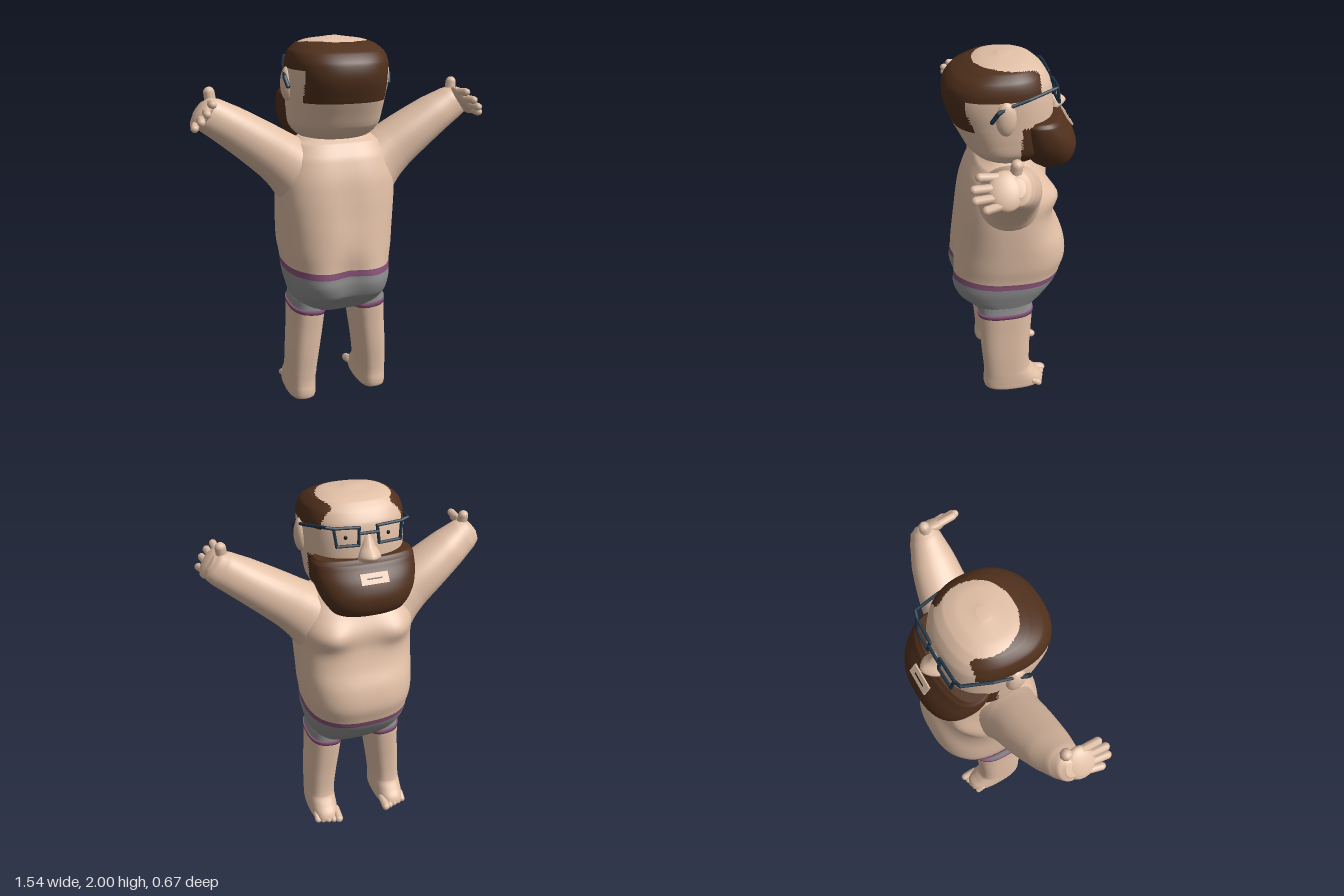
import * as THREE from 'three';

const mat = (name, color) => Object.assign(new THREE.MeshStandardMaterial({ color }), { name });
const V = (x, y, z) => new THREE.Vector3(x, y, z);

// Catmull-Rom between b and c
const spline = (a, b, c, d, t) =>
  0.5 * (2 * b + (c - a) * t + (2 * a - 5 * b + 4 * c - d) * t * t + (3 * b - a - 3 * c + d) * t * t * t);
const spow = (v, p) => Math.sign(v) * Math.abs(v) ** p;

// Closed loft of super-ellipses; each ring is [y, halfWidth, zBack, zFront, centreX]
function loft(rings, power = 2.5, cols = 48, sub = 6) {
  const rows = [];
  const ring = (i) => rings[Math.min(Math.max(i, 0), rings.length - 1)];
  for (let i = 0; i < rings.length - 1; i++)
    for (let k = 0; k < sub; k++) {
      const t = k / sub;
      rows.push([0, 1, 2, 3, 4].map((c) => c === 0
        ? ring(i)[0] + (ring(i + 1)[0] - ring(i)[0]) * t
        : spline(ring(i - 1)[c] ?? 0, ring(i)[c] ?? 0, ring(i + 1)[c] ?? 0, ring(i + 2)[c] ?? 0, t)));
    }
  rows.push(ring(rings.length));
  const pos = [], idx = [];
  for (const [y, w, zb, zf, cx = 0] of rows)
    for (let j = 0; j < cols; j++) {
      const a = (j / cols) * Math.PI * 2;
      pos.push(cx + w * spow(Math.cos(a), 2 / power), y, (zb + zf) / 2 + ((zb - zf) / 2) * spow(Math.sin(a), 2 / power));
    }
  for (let i = 0; i < rows.length - 1; i++)
    for (let j = 0; j < cols; j++) {
      const a = i * cols + j, b = i * cols + ((j + 1) % cols);
      idx.push(a, a + cols, b, b, a + cols, b + cols);
    }
  const last = rows.length - 1, n = rows.length * cols;
  for (const r of [0, last]) pos.push(rows[r][4] ?? 0, rows[r][0], (rows[r][2] + rows[r][3]) / 2);
  for (let j = 0; j < cols; j++) {
    const k = (j + 1) % cols;
    idx.push(n, j, k, n + 1, last * cols + k, last * cols + j);
  }
  const g = new THREE.BufferGeometry();
  g.setAttribute('position', new THREE.Float32BufferAttribute(pos, 3));
  g.setIndex(idx);
  g.computeVertexNormals();
  return g;
}

// Sort triangles into material groups by a rule on their centres
function paint(g, count, rule) {
  const p = g.attributes.position, old = g.index.array;
  const bins = Array.from({ length: count }, () => []);
  for (let i = 0; i < old.length; i += 3) {
    const t = [old[i], old[i + 1], old[i + 2]];
    const mean = (f) => (f(t[0]) + f(t[1]) + f(t[2])) / 3;
    bins[rule(mean((v) => p.getX(v)), mean((v) => p.getY(v)), mean((v) => p.getZ(v)))].push(...t);
  }
  let start = 0;
  bins.forEach((b, m) => { g.addGroup(start, b.length, m); start += b.length; });
  g.setIndex(bins.flat());
  return g;
}

// Move vertices by a rule
function warp(g, rule) {
  const p = g.attributes.position;
  for (let i = 0; i < p.count; i++) {
    const v = rule(V(p.getX(i), p.getY(i), p.getZ(i)));
    p.setXYZ(i, v.x, v.y, v.z);
  }
  g.computeVertexNormals();
  return g;
}

// Rounded rod between two points
function rod(a, b, r, seg = 8) {
  const d = b.clone().sub(a);
  const q = new THREE.Quaternion().setFromUnitVectors(V(0, 1, 0), d.clone().normalize());
  return new THREE.CapsuleGeometry(r, d.length(), 4, seg)
    .applyQuaternion(q).translate((a.x + b.x) / 2, (a.y + b.y) / 2, (a.z + b.z) / 2);
}

const blob = (x, y, z, sx, sy, sz) => new THREE.SphereGeometry(1, 20, 14).scale(sx, sy, sz).translate(x, y, z);

function mirrored(g) {
  const m = g.clone().scale(-1, 1, 1), ix = m.index.array;
  for (let i = 0; i < ix.length; i += 3) [ix[i], ix[i + 1]] = [ix[i + 1], ix[i]];
  return m;
}

export function createModel() {
  const skin = mat('skin', 0xe2c0a7), hair = mat('hair brown', 0x50301c), grey = mat('shorts grey', 0x909090);
  const trim = mat('trim purple', 0x885278), frame = mat('glasses navy', 0x1d3345), dark = mat('dark', 0x1a1412);
  const model = new THREE.Group();
  const add = (name, g, m) => {
    const mesh = new THREE.Mesh(g, m);
    mesh.name = name;
    model.add(mesh);
  };
  const pair = (name, g, m) => { add(name + 'Left', g, m); add(name + 'Right', mirrored(g), m); };

  // Torso with shorts and waistband
  const torso = paint(loft([
    [0.525, 0.09, 0.12, -0.06], [0.55, 0.2, 0.185, -0.095], [0.58, 0.248, 0.22, -0.128], [0.62, 0.262, 0.265, -0.168],
    [0.66, 0.272, 0.305, -0.205],
    [0.72, 0.285, 0.325, -0.245], [0.773, 0.29, 0.325, -0.273], [0.807, 0.29, 0.322, -0.285], [0.9, 0.303, 0.32, -0.308],
    [1.0, 0.309, 0.31, -0.292], [1.1, 0.314, 0.295, -0.245], [1.2, 0.318, 0.28, -0.215], [1.3, 0.315, 0.26, -0.205],
    [1.4, 0.285, 0.225, -0.155], [1.47, 0.245, 0.18, -0.11], [1.5, 0.19, 0.14, -0.08],
  ], 2.6, 64), 3, (x, y) => (y < 0.773 ? 1 : y < 0.807 ? 2 : 0));
  const bump = (v, c, w) => Math.exp(-(((v - c) / w) ** 2));
  warp(torso, (v) => {
    const h = v.y, side = Math.abs(v.x);
    v.y += 0.045 * v.z * bump(h, 0.79, 0.2);
    if (v.z > 0.1) {
      v.z += (0.02 * bump(side, 0.16, 0.08) - 0.026 * bump(v.x, 0, 0.06)) * bump(h, 0.74, 0.13);
      v.z -= 0.012 * bump(v.x, 0, 0.07) * bump(h, 1.15, 0.25);
    }
    if (v.z < -0.05) v.z -= 0.045 * bump(side, 0.18, 0.1) * bump(h, 1.29, 0.08);
    return v;
  });
  add('torso', torso, [skin, grey, trim]);

  // Legs with the hem of the shorts, cuffs and toes
  const hem = (x) => 0.557 + 0.12 * (x - 0.19);
  pair('leg', paint(loft([
    [0, 0.065, 0.15, -0.11, 0.212], [0.02, 0.082, 0.18, -0.17, 0.212], [0.06, 0.083, 0.185, -0.165, 0.212],
    [0.1, 0.082, 0.18, -0.13, 0.212], [0.15, 0.082, 0.18, -0.092, 0.21], [0.3, 0.088, 0.19, -0.09, 0.198],
    [0.45, 0.094, 0.195, -0.1, 0.183], [0.56, 0.097, 0.2, -0.107, 0.175], [0.63, 0.09, 0.2, -0.107, 0.172],
  ], 2.6, 32), 2, (x, y) => (y > hem(x) ? 1 : 0)), [skin, grey]);
  pair('legCuff', warp(loft([
    [-0.013, 0.1, 0.203, -0.11, 0.175], [0.013, 0.101, 0.205, -0.112, 0.175],
  ], 2.6, 32, 2), (v) => V(v.x, v.y + hem(v.x), v.z)), trim);
  for (let i = 0; i < 5; i++) {
    const x = 0.152 + i * 0.03, r = i ? 0.019 : 0.024;
    pair('toe' + (i + 1), rod(V(x, 0.05, -0.11), V(x, r + 0.008, -0.178 + i * 0.009), r), skin);
  }

  // Arms and hands, built upright and then swung outwards
  const swing = new THREE.Matrix4().makeTranslation(0.202, 1.313, 0).multiply(new THREE.Matrix4().makeRotationZ(-0.9));
  const armPart = (name, g) => pair(name, g.applyMatrix4(swing), skin);
  armPart('arm', loft([
    [0, 0.175, 0.2, -0.14], [0.08, 0.15, 0.187, -0.12], [0.16, 0.135, 0.18, -0.105], [0.3, 0.12, 0.177, -0.088, 0.005],
    [0.45, 0.105, 0.168, -0.055, 0.015], [0.56, 0.092, 0.152, -0.012, 0.027], [0.605, 0.077, 0.14, 0.015, 0.033],
    [0.625, 0.04, 0.11, 0.045, 0.035],
  ], 2.2, 32));
  armPart('palm', blob(0.04, 0.6, 0.125, 0.09, 0.034, 0.078));
  [[-0.02, -0.025, 0.23], [0.022, 0.025, 0.258], [0.06, 0.072, 0.256], [0.095, 0.115, 0.215]].forEach(([x0, x1, z], i) =>
    armPart('finger' + (i + 1), rod(V(x0, 0.6, 0.13), V(x1, 0.608, z), 0.02)));
  armPart('thumb', rod(V(0, 0.565, 0.08), V(-0.06, 0.622, 0.07), 0.028));

  // Head with a horseshoe of hair and the cheeks of the beard
  add('head', paint(loft([
    [1.46, 0.13, 0.1, -0.1], [1.51, 0.2, 0.18, -0.17], [1.56, 0.237, 0.225, -0.2], [1.63, 0.247, 0.26, -0.215],
    [1.7, 0.252, 0.295, -0.22], [1.8, 0.258, 0.325, -0.215], [1.88, 0.256, 0.317, -0.2], [1.93, 0.24, 0.275, -0.17],
    [1.965, 0.2, 0.205, -0.13], [1.985, 0.14, 0.14, -0.08], [2, 0.03, 0.05, 0],
  ], 2.4, 96, 8), 2, (x, y, z) => {
    const bald = (x / 0.185) ** 2 + (z / 0.175) ** 2 < 1 || (z < 0 && Math.abs(x) < 0.15);
    const sides = y > 1.85 && z > -0.125, nape = z > 0.165 && y > 1.69 && Math.abs(x) < 0.215;
    const cheeks = z < -0.03 && y < 1.705 && y > 1.49 - z * 0.1;
    return cheeks || ((sides || nape) && !bald) ? 1 : 0;
  }), [skin, hair]);
  pair('ear', blob(0.256, 1.77, 0.05, 0.033, 0.085, 0.05), skin);
  add('nose', loft([
    [1.69, 0.035, -0.18, -0.235], [1.715, 0.058, -0.18, -0.272], [1.74, 0.054, -0.18, -0.294],
    [1.78, 0.034, -0.18, -0.25], [1.84, 0.02, -0.18, -0.213],
  ], 1.6, 20, 4), skin);
  pair('eye', blob(0.108, 1.825, -0.2, 0.009, 0.01, 0.006), dark);

  // Beard and mouth
  add('beard', loft([
    [1.41, 0.1, -0.15, -0.23], [1.46, 0.185, -0.09, -0.318], [1.54, 0.236, -0.03, -0.342],
    [1.62, 0.258, -0.01, -0.316], [1.7, 0.26, -0.01, -0.262], [1.722, 0.245, -0.035, -0.235],
  ], 2.4, 48), hair);
  const mouth = (name, w, h, lift, m) =>
    add(name, new THREE.BoxGeometry(w, h, 0.009).rotateX(0.62).translate(0, 1.645 + lift * 0.6, -0.303 - lift), m);
  mouth('mouthPatch', 0.14, 0.055, 0.002, skin);
  mouth('mouthSlit', 0.075, 0.006, 0.004, dark);

  // Glasses: rims, bridge, temples and ear hooks
  const chain = (name, pts, r = 0.008) => {
    for (let i = 0; i < pts.length - 1; i++) pair(name + (i + 1), rod(V(...pts[i]), V(...pts[i + 1]), r, 6), frame);
  };
  chain('rim', [[0.045, 1.872, -0.213], [0.17, 1.88, -0.21], [0.16, 1.795, -0.223], [0.052, 1.79, -0.226], [0.045, 1.872, -0.213]]);
  chain('temple', [[0.17, 1.88, -0.21], [0.205, 1.887, -0.2], [0.248, 1.855, -0.06], [0.268, 1.828, 0.05]]);
  chain('earHook', [[0.268, 1.828, 0.05], [0.278, 1.81, 0.09], [0.268, 1.765, 0.118]], 0.011);
  add('bridge', rod(V(-0.045, 1.845, -0.222), V(0.045, 1.845, -0.222), 0.008, 6), frame);
  return model;
}
